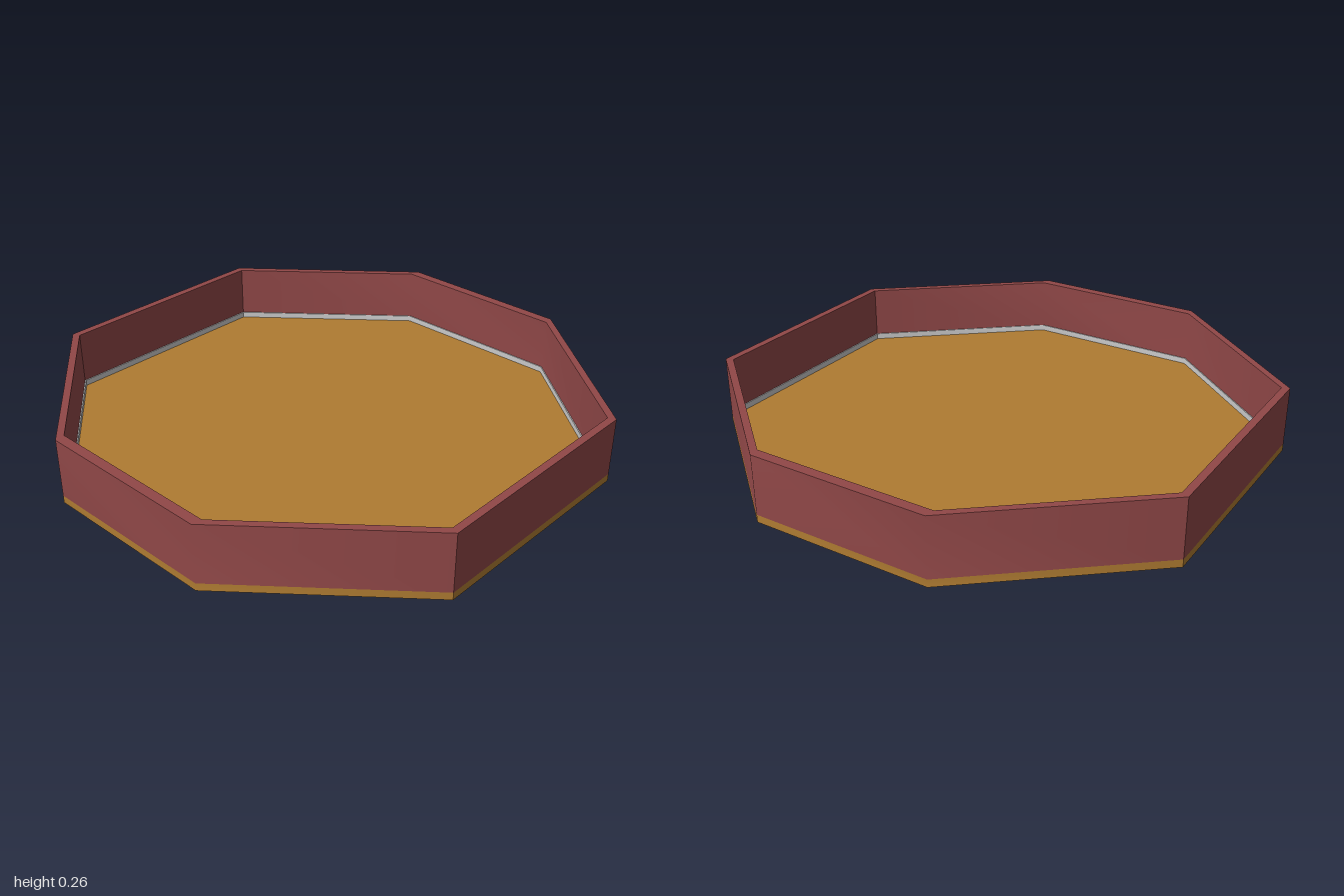
import * as THREE from 'three';
import { toCreasedNormals } from 'three/addons/utils/BufferGeometryUtils.js';

// Octagon symmetric about both axes, given by its two corner points
const octagon = (ax, az, bx, bz) => [
  [ax, -az], [bx, -bz], [bx, bz], [ax, az],
  [-ax, az], [-bx, bz], [-bx, -bz], [-ax, -az],
].map(([x, z]) => new THREE.Vector2(x, z));

const outer = octagon(0.467, 0.995, 1, 0.36);
const inner = octagon(0.455, 0.965, 0.96, 0.365);
const trimInner = octagon(0.452, 0.961, 0.956, 0.364);

// Upright slab or ring from y0 to y1; shallow corners are smooth, steeper ones sharp
function prism(name, points, hole, y0, y1, color) {
  const shape = new THREE.Shape(points);
  if (hole) shape.holes.push(new THREE.Path(hole));
  const extruded = new THREE.ExtrudeGeometry(shape, { depth: y1 - y0, bevelEnabled: false });
  extruded.rotateX(-Math.PI / 2).translate(0, y0, 0);
  const geometry = toCreasedNormals(extruded, THREE.MathUtils.degToRad(45));
  const mesh = new THREE.Mesh(geometry, new THREE.MeshStandardMaterial({ color }));
  mesh.name = name;
  return mesh;
}

export function createModel() {
  const model = new THREE.Group();
  model.name = 'octagonalTray';
  model.add(
    // Flat floor slab
    prism('base', outer, null, 0, 0.03, 0xb07c32),
    // Upright rim around the floor
    prism('wall', outer, inner, 0.03, 0.265, 0x914848),
    // Low strip along the inside foot of the wall
    prism('innerTrim', inner, trimInner, 0.03, 0.054, 0xcccccc),
  );
  return model;
}
